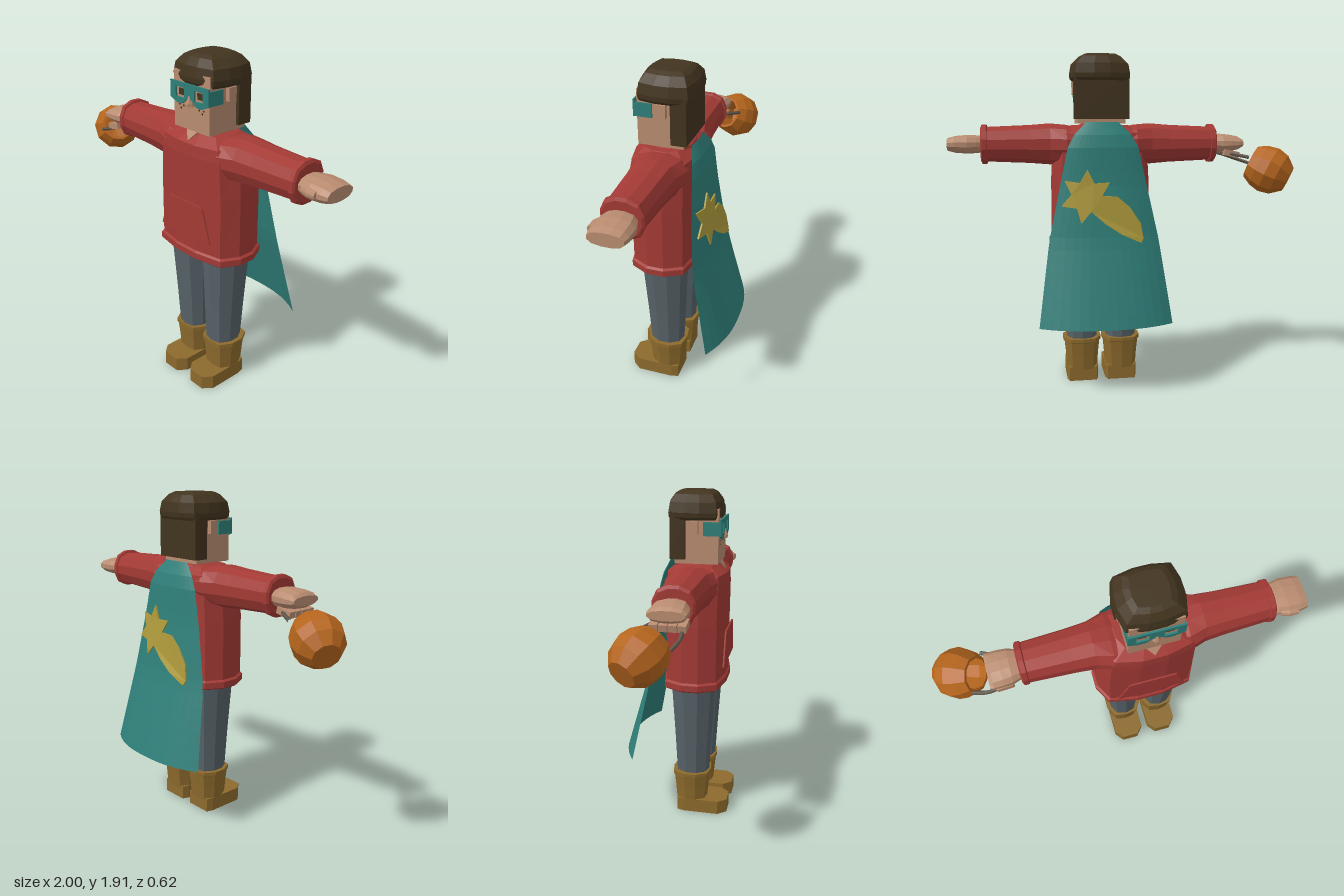
import * as THREE from 'three';

const paint = (name, color, side = THREE.FrontSide) => {
  const m = new THREE.MeshStandardMaterial({ color, flatShading: true, side });
  m.name = name;
  return m;
};

// Superellipse cross-section at height y
function ring(y, rx, rz, cx = 0, cz = 0, power = 3, n = 12) {
  return Array.from({ length: n }, (_, i) => {
    const a = ((i + 0.5) / n) * Math.PI * 2, c = Math.cos(a), s = Math.sin(a);
    const k = Math.pow(Math.abs(c) ** power + Math.abs(s) ** power, -1 / power);
    return [cx + c * k * rx, y, cz + s * k * rz];
  });
}

// Closed skin over rings stacked upward
function loft(rings) {
  const n = rings[0].length, out = [];
  const mid = r => [0, 1, 2].map(k => r.reduce((s, p) => s + p[k], 0) / n);
  const bottom = rings[0], top = rings[rings.length - 1], cb = mid(bottom), ct = mid(top);
  for (let i = 0; i < n; i++) {
    const j = (i + 1) % n;
    for (let k = 0; k < rings.length - 1; k++) {
      const a = rings[k], b = rings[k + 1];
      out.push(...a[i], ...b[i], ...a[j], ...a[j], ...b[i], ...b[j]);
    }
    out.push(...cb, ...bottom[i], ...bottom[j], ...ct, ...top[j], ...top[i]);
  }
  const g = new THREE.BufferGeometry();
  g.setAttribute('position', new THREE.Float32BufferAttribute(out, 3));
  g.computeVertexNormals();
  return g;
}

const polygon = pts => new THREE.Shape(pts.map(p => new THREE.Vector2(...p)));
const extrude = (shape, depth) => new THREE.ExtrudeGeometry(shape, { depth, bevelEnabled: false });

// Cape rows: height, half width, z at the middle, z at the edges
const capeRows = [[1.53, 0.09, -0.06, -0.05], [1.43, 0.19, -0.11, -0.085], [1.2, 0.24, -0.125, -0.095],
  [0.87, 0.31, -0.175, -0.125], [0.4, 0.375, -0.31, -0.22]];
function capeAt(y) {
  let i = 0;
  while (i < capeRows.length - 2 && y < capeRows[i + 1][0]) i++;
  const a = capeRows[i], b = capeRows[i + 1], t = (a[0] - y) / (a[0] - b[0]);
  return a.map((v, k) => v + (b[k] - v) * t);
}
const capeZ = (y, u) => {
  const [, , zc, zs] = capeAt(y);
  return zc + (zs - zc) * Math.abs(u) ** 2.5;
};

export function createModel() {
  const skin = paint('skin', 0xb98c70), hair = paint('dark brown', 0x42341f), red = paint('red', 0xa33a35);
  const teal = paint('teal', 0x2f7f79, THREE.DoubleSide), slate = paint('slate', 0x566268);
  const tan = paint('boot brown', 0x8c6a2c), gold = paint('gold', 0xae9a3c);
  const orange = paint('orange', 0xb5651d, THREE.DoubleSide), grey = paint('handle grey', 0x5f5549);

  const model = new THREE.Group();
  const body = new THREE.Group();
  body.name = 'body';
  body.position.x = 0.14;
  model.add(body);
  const add = (name, geo, mat, parent = body, x = 0, y = 0, z = 0) => {
    const m = new THREE.Mesh(geo, mat);
    m.name = name;
    m.position.set(x, y, z);
    parent.add(m);
    return m;
  };
  const box = (name, mat, w, h, d, x, y, z) => add(name, new THREE.BoxGeometry(w, h, d), mat, body, x, y, z);

  // Hooded top with hem, collar and pocket
  add('torso', loft([[0.81, 0.285, 0.17], [0.82, 0.298, 0.182], [0.855, 0.298, 0.182], [0.865, 0.285, 0.172],
    [1.2, 0.283, 0.172], [1.4, 0.272, 0.174], [1.465, 0.25, 0.17], [1.51, 0.17, 0.11]]
    .map(([y, rx, rz]) => ring(y, rx, rz, 0, 0.098, 3.5))), red);
  add('collar', loft([[1.48, 0.13, 0.135], [1.51, 0.125, 0.125], [1.525, 0.1, 0.1]]
    .map(([y, rx, rz]) => ring(y, rx, rz, 0, 0.09))), red);
  add('neck', loft([1.48, 1.54].map(y => ring(y, 0.08, 0.08, 0, 0.09))), skin);
  const notch = add('neckOpening', extrude(polygon([[-0.045, 0.03], [0, -0.03], [0.045, 0.03]]), 0.008), skin, body, 0, 1.495, 0.232);
  notch.rotation.x = -0.6;
  add('pocket', extrude(polygon([[-0.195, 0.945], [0.195, 0.945], [0.135, 1.14], [-0.13, 1.14]]), 0.009), red, body, 0, 0, 0.272);

  // Arms, cuffs and hands
  for (const s of [1, -1]) {
    const limb = (name, rows, mat, power = 2.5) => {
      const m = add(name, loft(rows.map(([d, ry, rz, z = 0]) => ring(d, ry, rz, 0, z, power))), mat, body, 0, 1.405, 0.092);
      m.rotation.z = -s * Math.PI / 2;
    };
    limb('sleeve', [[0.12, 0.09, 0.15], [0.2, 0.11, 0.155], [0.29, 0.118, 0.125], [0.4, 0.109, 0.116], [0.65, 0.098, 0.105]], red);
    limb('cuff', [[0.64, 0.1, 0.103], [0.645, 0.112, 0.112], [0.67, 0.112, 0.112], [0.678, 0.095, 0.1]], red);
    if (s > 0) {
      limb('leftHand', [[0.66, 0.045, 0.075], [0.7, 0.05, 0.09], [0.75, 0.053, 0.102], [0.82, 0.047, 0.1], [0.86, 0.036, 0.092]], skin);
      limb('leftThumb', [[0.71, 0.02, 0.02, 0.08], [0.75, 0.025, 0.025, 0.09], [0.8, 0.02, 0.018, 0.098]], skin);
    } else {
      limb('rightHand', [[0.66, 0.045, 0.075], [0.72, 0.055, 0.095], [0.77, 0.05, 0.1], [0.82, 0.04, 0.1], [0.84, 0.025, 0.095]], skin);
      for (let i = 0; i < 4; i++) {
        const f = box('curledFinger', skin, 0.09, 0.035, 0.042, -0.77, 1.345, 0.022 + i * 0.047);
        f.rotation.z = 0.2;
      }
    }
  }

  // Legs and boots
  for (const s of [1, -1]) {
    add('trouserLeg', loft([[0.24, 0.088, 0.098, 0.115], [0.5, 0.1, 0.112, 0.12], [0.84, 0.115, 0.133, 0.13]]
      .map(([y, rx, rz, x]) => ring(y, rx, rz, s * x, 0.094, 2.4, 10))), slate);
    add('bootShaft', loft([[0.07, 0.09, 0.092], [0.16, 0.096, 0.1], [0.235, 0.104, 0.108], [0.24, 0.112, 0.114], [0.262, 0.112, 0.114]]
      .map(([y, rx, rz]) => ring(y, rx, rz, s * 0.116, 0.09, 3, 10))), tan);
    const sole = polygon([[-0.08, -0.01], [0.08, -0.01], [0.092, -0.05], [0.092, -0.26], [0.05, -0.31], [-0.05, -0.31], [-0.092, -0.26], [-0.092, -0.05]]);
    add('bootFoot', extrude(sole, 0.083).rotateX(-Math.PI / 2), tan, body, s * 0.114);
  }

  // Head, ears, nose, eyes and freckles
  box('head', skin, 0.27, 0.3, 0.245, 0, 1.67, 0.103);
  add('nose', loft([[1.65, 0.022, 0.03], [1.665, 0.02, 0.032], [1.71, 0.01, 0.015]]
    .map(([y, rx, rz]) => ring(y, rx, rz, 0, 0.226, 4, 8))), skin);
  for (const s of [1, -1]) {
    box('ear', skin, 0.03, 0.072, 0.05, s * 0.145, 1.72, 0.09);
    box('eye', hair, 0.044, 0.034, 0.006, s * 0.07, 1.712, 0.227);
    for (const [x, y] of [[0.06, 1.64], [0.08, 1.625], [0.092, 1.642]])
      box('freckle', hair, 0.008, 0.008, 0.004, s * x, y, 0.226);
  }

  // Hair cap and hanging back
  add('hairCap', loft([[1.76, 0.158, 0.142], [1.775, 0.17, 0.15], [1.8, 0.172, 0.153], [1.855, 0.162, 0.144], [1.895, 0.12, 0.116], [1.91, 0.09, 0.09]]
    .map(([y, rx, rz]) => ring(y, rx, rz, 0, 0.083, 5))), hair);
  box('backHair', hair, 0.31, 0.26, 0.085, 0, 1.675, 0);

  // Eye mask with square openings and side straps
  const mask = polygon([[-0.145, 1.765], [-0.145, 1.675], [-0.09, 1.653], [-0.055, 1.655], [-0.018, 1.685], [0.018, 1.685],
    [0.055, 1.655], [0.09, 1.653], [0.145, 1.675], [0.145, 1.765]]);
  for (const s of [1, -1]) {
    const x = s * 0.07, w = 0.033, h = 0.027;
    mask.holes.push(new THREE.Path([[-w, -h], [-w, h], [w, h], [w, -h]].map(([a, b]) => new THREE.Vector2(x + a, 1.712 + b))));
    box('maskStrap', teal, 0.009, 0.075, 0.095, s * 0.1405, 1.713, 0.19);
  }
  add('mask', extrude(mask, 0.01), teal, body, 0, 0, 0.233);

  // Cape flaring toward the hem
  const cape = new THREE.PlaneGeometry(2, 1, 14, 16), p = cape.attributes.position;
  for (let i = 0; i < p.count; i++) {
    const u = p.getX(i), y = 1.53 - (0.5 - p.getY(i)) * 1.13;
    p.setXYZ(i, u * capeAt(y)[1], y, capeZ(y, u));
  }
  cape.computeVertexNormals();
  add('cape', cape, teal);

  // Shooting star that follows the cape
  const star = [];
  for (let i = 0; i <= 10; i++) {
    const a = 0.35 * Math.PI - 0.05 * Math.PI + (5 - i) * 0.157 * Math.PI - 0.1 * Math.PI;
    const r = i % 2 ? 0.15 : 0.085;
    star.push([0.1 + Math.cos(a) * r, 1.12 + Math.sin(a) * r]);
  }
  star.push([0.0, 0.97], [-0.09, 0.91], [-0.2, 0.86], [-0.215, 0.885], [-0.2, 0.97], [-0.14, 1.06], [-0.07, 1.12]);
  const emblem = extrude(polygon(star), 0.009), q = emblem.attributes.position;
  for (let i = 0; i < q.count; i++) {
    const y = q.getY(i);
    q.setZ(i, q.getZ(i) + capeZ(y, q.getX(i) / capeAt(y)[1]) - 0.02);
  }
  emblem.computeVertexNormals();
  add('starEmblem', emblem, gold);

  // Round bucket tipped toward the hand
  const profile = [[0, -0.125], [0.075, -0.125], [0.125, -0.065], [0.14, 0], [0.128, 0.06], [0.1, 0.115],
    [0.085, 0.115], [0.11, 0.05], [0.1, -0.08], [0, -0.1]].map(v => new THREE.Vector2(...v));
  const bucket = add('bucket', new THREE.LatheGeometry(profile, 10), orange, model, -0.858, 1.247, 0);
  bucket.quaternion.setFromUnitVectors(new THREE.Vector3(0, 1, 0), new THREE.Vector3(0.8, 0.42, 0.42).normalize());
  const path = new THREE.CatmullRomCurve3([[-0.81, 1.27, 0.135], [-0.71, 1.305, 0.165], [-0.6, 1.34, 0.14], [-0.57, 1.345, 0.08],
    [-0.62, 1.345, 0.01], [-0.72, 1.325, -0.05]].map(v => new THREE.Vector3(...v)));
  add('bucketHandle', new THREE.TubeGeometry(path, 20, 0.011, 6), grey, model);

  return model;
}
